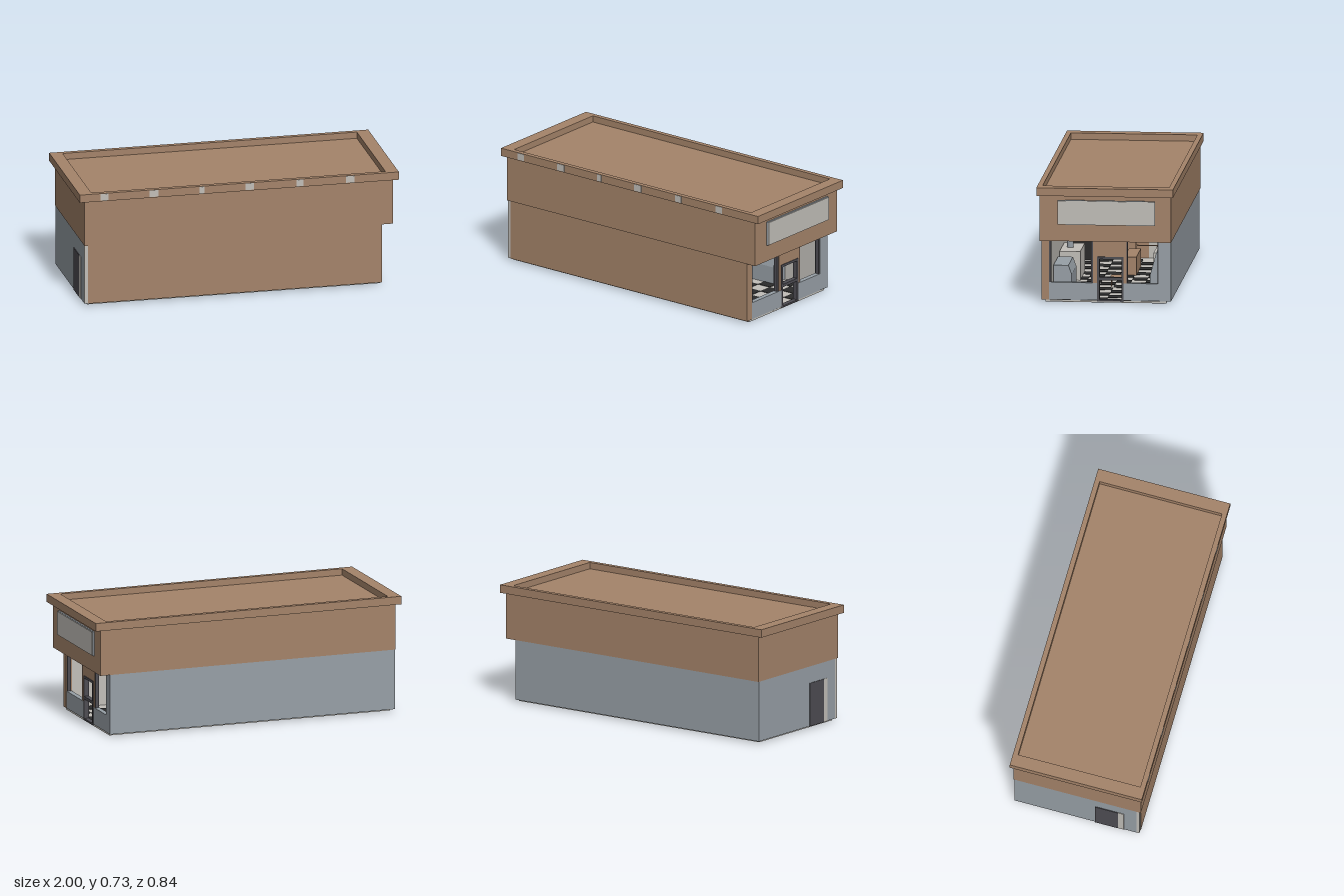
import * as THREE from 'three';

const mat = (name, color) => Object.assign(new THREE.MeshStandardMaterial({ color }), { name });

export function createModel() {
  const brown = mat('brown stucco', 0xa5846a);
  const pale = mat('pale plaster', 0xc2bfb9);
  const grey = mat('blue grey wall', 0x98a0a7);
  const dark = mat('charcoal frame', 0x4e4d53);
  const black = mat('black', 0x2b2b2b);

  const model = new THREE.Group();
  model.name = 'cornerShop';
  let parent = model;
  const group = (name) => {
    parent = new THREE.Group();
    parent.name = name;
    model.add(parent);
  };
  const add = (name, geometry, material) => {
    const mesh = new THREE.Mesh(geometry, material);
    mesh.name = name;
    parent.add(mesh);
    return mesh;
  };
  // Box given by its low and high limits on each axis
  const box = (name, material, x0, x1, y0, y1, z0, z1) => {
    const mesh = add(name, new THREE.BoxGeometry(x1 - x0, y1 - y0, z1 - z0), material);
    mesh.position.set((x0 + x1) / 2, (y0 + y1) / 2, (z0 + z1) / 2);
    return mesh;
  };

  // Roof: upper storey band and raised parapet around a sunken deck
  group('roof');
  box('upperBand', brown, -0.967, 0.965, 0.39, 0.685, -0.404, 0.404);
  const rect = (target, x, y) =>
    target.moveTo(-x, -y).lineTo(x, -y).lineTo(x, y).lineTo(-x, y).closePath();
  const rim = rect(new THREE.Shape(), 1, 0.419);
  rim.holes.push(rect(new THREE.Path(), 0.922, 0.388));
  const parapet = add('parapet',
    new THREE.ExtrudeGeometry(rim, { depth: 0.05, bevelEnabled: false }), brown);
  parapet.rotation.x = -Math.PI / 2;
  parapet.position.y = 0.675;
  [[-0.845, 0.05], [-0.535, 0.055], [-0.235, 0.032], [0.065, 0.054], [0.38, 0.046], [0.695, 0.052]]
    .forEach(([x, w]) =>
      box('parapetPatch', pale, x - w / 2, x + w / 2, 0.68, 0.722, 0.416, 0.421));
  box('signBoard', pale, 0.96, 0.981, 0.497, 0.643, -0.303, 0.288);
  box('signEdge', grey, 0.96, 0.976, 0.494, 0.646, -0.306, 0.291);

  // Side and rear walls, each with a pale inner lining
  group('walls');
  box('frontSideWall', brown, -0.943, 0.897, 0.015, 0.39, 0.375, 0.397);
  box('frontSideEnd', pale, -0.965, -0.943, 0.015, 0.39, 0.375, 0.394);
  box('frontSideLining', pale, -0.95, 0.875, 0.01, 0.39, 0.355, 0.375);
  box('backSideWall', grey, -0.965, 0.897, 0.015, 0.39, -0.398, -0.375);
  box('backSideLining', pale, -0.95, 0.875, 0.01, 0.39, -0.375, -0.355);
  box('rearWall', grey, -0.965, -0.945, 0.015, 0.39, -0.376, 0.376);
  box('rearLining', pale, -0.945, -0.935, 0.01, 0.39, -0.355, 0.355);
  box('rearDoor', dark, -0.969, -0.96, 0.015, 0.285, 0.115, 0.26);
  box('rearDoorJamb', pale, -0.968, -0.96, 0.015, 0.285, 0.26, 0.295);

  // Floor: pale slab with black chequer tiles visible on both faces
  group('floor');
  box('floorSlab', pale, -0.945, 0.892, 0.002, 0.012, -0.368, 0.372);
  const tile = 0.09;
  for (let i = 0; i < 16; i++) {
    for (let j = 0; j < 8; j++) {
      if ((i + j) % 2) continue;
      const x = 0.888 - i * tile, z = -0.36 + j * tile;
      box('blackTile', black, x - tile, x, 0, 0.0145, z, z + tile);
    }
  }

  // Shop front: low walls, corner piers and middle pier
  group('shopFront');
  box('brownPier', brown, 0.86, 0.898, 0.015, 0.39, 0.35, 0.396);
  box('greyPier', grey, 0.86, 0.898, 0.015, 0.39, -0.397, -0.322);
  box('lowWall', grey, 0.865, 0.897, 0.015, 0.122, 0.056, 0.35);
  box('lowWall', grey, 0.865, 0.897, 0.015, 0.122, -0.322, -0.106);
  box('doorPier', brown, 0.865, 0.895, 0.122, 0.39, 0.056, 0.08);
  box('doorPier', brown, 0.865, 0.895, 0.122, 0.39, -0.123, -0.106);
  box('doorHeader', brown, 0.865, 0.895, 0.285, 0.39, -0.106, 0.056);
  for (const [z0, z1] of [[0.338, 0.35], [0.08, 0.094], [-0.131, -0.122], [-0.324, -0.314]]) {
    box('windowPost', dark, 0.87, 0.893, 0.122, 0.39, z0, z1);
  }

  // Glazed door drawn as an open frame
  group('door');
  box('doorStile', dark, 0.868, 0.899, 0.008, 0.285, 0.042, 0.057);
  box('doorStile', dark, 0.868, 0.899, 0.008, 0.285, -0.107, -0.094);
  box('doorTopRail', dark, 0.868, 0.899, 0.27, 0.285, -0.107, 0.057);
  box('doorMiddleRail', dark, 0.868, 0.899, 0.139, 0.157, -0.107, 0.057);
  box('doorBottomRail', dark, 0.868, 0.899, 0.008, 0.018, -0.107, 0.057);

  // Ceiling with a grid of bars
  group('ceiling');
  box('ceilingPanel', pale, -0.935, 0.86, 0.384, 0.389, -0.355, 0.355);
  for (let x = -0.5; x < 0.86; x += 0.15) {
    box('ceilingBar', dark, x, x + 0.008, 0.38, 0.385, -0.355, 0.355);
  }
  for (const z of [-0.18, 0, 0.18]) {
    box('ceilingBar', dark, -0.6, 0.86, 0.38, 0.385, z - 0.004, z + 0.004);
  }

  // Partition with inner door, cabinet, vent and notice
  group('partition');
  box('partitionWall', pale, -0.64, -0.62, 0.012, 0.385, -0.355, 0.355);
  box('innerDoorFrame', brown, -0.625, -0.615, 0.012, 0.29, 0.108, 0.226);
  box('innerDoor', dark, -0.62, -0.61, 0.012, 0.282, 0.12, 0.215);
  box('blackCabinet', black, -0.62, -0.5, 0.012, 0.292, 0.21, 0.345);
  box('ventFrame', dark, -0.62, -0.613, 0.305, 0.33, 0.175, 0.225);
  box('ventPanel', grey, -0.62, -0.611, 0.309, 0.326, 0.179, 0.221);
  box('brownPanel', brown, -0.62, -0.612, 0.012, 0.385, -0.12, 0.08);
  box('notice', pale, -0.62, -0.61, 0.257, 0.312, -0.23, -0.143);

  // Machines along both side walls, with curved ducts and sloped hoods
  group('machines');
  for (const s of [1, -1]) {
    const span = (name, m, x0, x1, y0, y1, a, b) =>
      box(name, m, x0, x1, y0, y1, Math.min(a * s, b * s), Math.max(a * s, b * s));
    span('machine', pale, -0.1, 0.2, 0.012, 0.19, 0.225, 0.352);
    span('counter', grey, 0.3, 0.6, 0.012, 0.12, 0.24, 0.352);
    const path = new THREE.CatmullRomCurve3([
      [0.18, 0.3], [0.25, 0.3], [0.285, 0.305], [0.31, 0.325], [0.345, 0.335], [0.384, 0.335],
    ].map(([y, z]) => new THREE.Vector3(0.05, y, z * s)));
    add('duct', new THREE.TubeGeometry(path, 24, 0.02, 12), grey);
    const h = s > 0 ? 0.175 : 0.265;
    const hoodShape = new THREE.Shape([[0.24, 0.12], [0.352, 0.12], [0.352, h], [s > 0 ? 0.26 : 0.28, h]]
      .map(([z, y]) => new THREE.Vector2(-z * s, y)));
    const hood = add('hood',
      new THREE.ExtrudeGeometry(hoodShape, { depth: 0.3, bevelEnabled: false }), grey);
    hood.rotation.y = Math.PI / 2;
    hood.position.x = 0.3;
  }

  // Furniture: counter desk, rail and stool
  group('furniture');
  box('desk', brown, -0.3, 0, 0.012, 0.125, -0.1, -0.028);
  for (const z of [-0.062, -0.24]) box('railPost', brown, -0.4, -0.392, 0.012, 0.222, z - 0.003, z + 0.003);
  for (const y of [0.128, 0.217]) box('railBar', brown, -0.4, -0.392, y - 0.003, y + 0.003, -0.24, -0.062);
  box('benchSeat', brown, 0.3, 0.4, 0.064, 0.07, -0.06, 0.024);
  for (const x of [0.305, 0.39]) {
    for (const z of [-0.053, 0.013]) box('benchLeg', brown, x, x + 0.005, 0.012, 0.064, z, z + 0.005);
  }

  return model;
}
